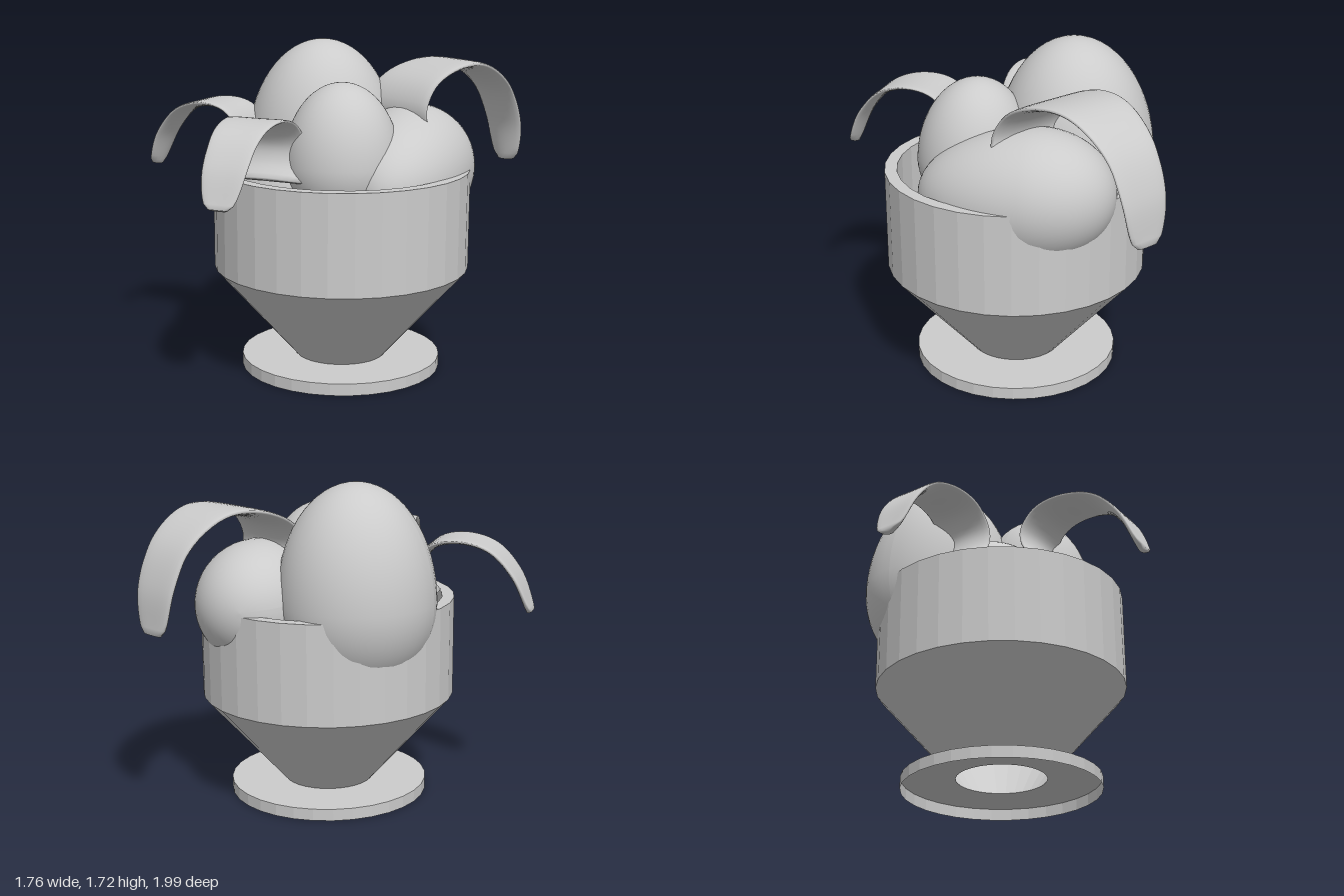
import * as THREE from 'three';

const material = new THREE.MeshStandardMaterial({ color: 0xcccccc });
const faceted = new THREE.MeshStandardMaterial({ color: 0xcccccc, flatShading: true });
const facetedOpen = new THREE.MeshStandardMaterial({
  color: 0xcccccc, flatShading: true, side: THREE.DoubleSide });

function addMesh(group, name, geometry, mat = material) {
  const mesh = new THREE.Mesh(geometry, mat);
  mesh.name = name;
  group.add(mesh);
  return mesh;
}

// Egg shape: a sphere with a long tip along +y and a shorter blunt end
function eggGeometry(radius, tip, blunt) {
  const geo = new THREE.SphereGeometry(1, 48, 32);
  const pos = geo.attributes.position;
  for (let i = 0; i < pos.count; i++) {
    const y = pos.getY(i);
    pos.setXYZ(i, pos.getX(i) * radius, y * (y > 0 ? tip : blunt), pos.getZ(i) * radius);
  }
  geo.computeVertexNormals();
  return geo;
}

// Curved strip swept in a vertical plane from one [x, z] point to another.
// profile holds [fraction along, height]; widths are half widths at each end.
function peelGeometry(from, to, profile, w0, w1, thick) {
  const dx = to[0] - from[0], dz = to[1] - from[1];
  const up = new THREE.Vector3(0, 1, 0);
  const side = new THREE.Vector3(dx, 0, dz).normalize().cross(up);
  const curve = new THREE.CatmullRomCurve3(
    profile.map(([u, y]) => new THREE.Vector3(from[0] + dx * u, y, from[1] + dz * u)));
  const rows = 40, ring = 20, positions = [], index = [];
  for (let i = 0; i <= rows + 2; i++) {
    // the first and last rings shrink to a point to close the ends
    const t = THREE.MathUtils.clamp((i - 1) / rows, 0, 1);
    const closed = i === 0 || i === rows + 2 ? 0.001 : 1;
    const c = curve.getPointAt(t);
    const normal = side.clone().cross(curve.getTangentAt(t));
    const tip = THREE.MathUtils.clamp((t - 0.68) / 0.32, 0, 1);
    const w = THREE.MathUtils.lerp(w0, w1, Math.min(1, t * 1.4))
      * (0.4 + 0.6 * Math.sqrt(1 - tip * tip)) * closed;
    for (let j = 0; j < ring; j++) {
      const a = j / ring * Math.PI * 2;
      const p = c.clone().addScaledVector(side, w * Math.cos(a))
        .addScaledVector(normal, (thick * Math.sin(a) + 0.012 * Math.cos(a) ** 2) * closed);
      positions.push(p.x, p.y, p.z);
      if (i < rows + 2) {
        const k = (j + 1) % ring, b = i * ring, n = b + ring;
        index.push(b + j, n + j, b + k, n + j, n + k, b + k);
      }
    }
  }
  const geo = new THREE.BufferGeometry();
  geo.setAttribute('position', new THREE.Float32BufferAttribute(positions, 3));
  geo.setIndex(index);
  geo.computeVertexNormals();
  return geo;
}

export function createModel() {
  const model = new THREE.Group();
  model.name = 'cupOfEggs';

  // Cup with a conical bowl, on a thin foot that is hollow below
  const lathe = (pts) => new THREE.LatheGeometry(pts.map(([r, y]) => new THREE.Vector2(r, y)), 32);
  const cup = new THREE.Group();
  cup.name = 'cup';
  cup.position.set(0.195, 0, -0.025);
  model.add(cup);
  addMesh(cup, 'bowl', lathe([[0.24, 0.063], [0.674, 0.555], [0.674, 1.08], [0.61, 1.08],
    [0.61, 0.555], [0.24, 0.063]]), faceted);
  addMesh(cup, 'foot', lathe([[0.53, 0], [0.53, 0.063], [0.24, 0.063]]), facetedOpen);

  // Eggs: centre of the widest section, radius, tip length, blunt length, tip direction
  const eggs = [
    ['largeEgg', [-0.05, 1.11, -0.255], 0.41, 0.61, 0.46, [0.02, 1, 0.02]],
    ['frontEgg', [0.292, 1.13, 0.155], 0.298, 0.42, 0.3, [-0.03, 1, -0.05]],
    ['lyingEgg', [0.485, 1.065, -0.26], 0.335, 0.6, 0.405, [0.15, -0.09, 1]],
    ['smallEgg', [-0.02, 0.95, 0.085], 0.35, 0.35, 0.35, [0, 1, 0]],
  ];
  for (const [name, center, radius, tip, blunt, dir] of eggs) {
    const egg = addMesh(model, name, eggGeometry(radius, tip, blunt));
    egg.position.set(...center);
    egg.quaternion.setFromUnitVectors(new THREE.Vector3(0, 1, 0), new THREE.Vector3(...dir).normalize());
  }

  // Drooping curved strips
  const arch = [[0.13, 1.08], [0.03, 1.16], [0.01, 1.25], [0.13, 1.355], [0.35, 1.39],
    [0.63, 1.35], [0.84, 1.22], [0.98, 1.03]];
  const tallArch = [[0.05, 1.26], [0, 1.37], [0.09, 1.5], [0.32, 1.58],
    [0.57, 1.58], [0.81, 1.46], [0.94, 1.26], [0.98, 1.03]];
  addMesh(model, 'frontPeel', peelGeometry([0.02, 0.385], [0.085, 1], arch, 0.2, 0.125, 0.018));
  addMesh(model, 'sidePeel', peelGeometry([-0.275, 0.11], [-0.88, 0.135], arch, 0.18, 0.125, 0.018));
  addMesh(model, 'backPeel', peelGeometry([0.42, -0.22], [0.765, -0.94], tallArch, 0.27, 0.15, 0.024));
  return model;
}
